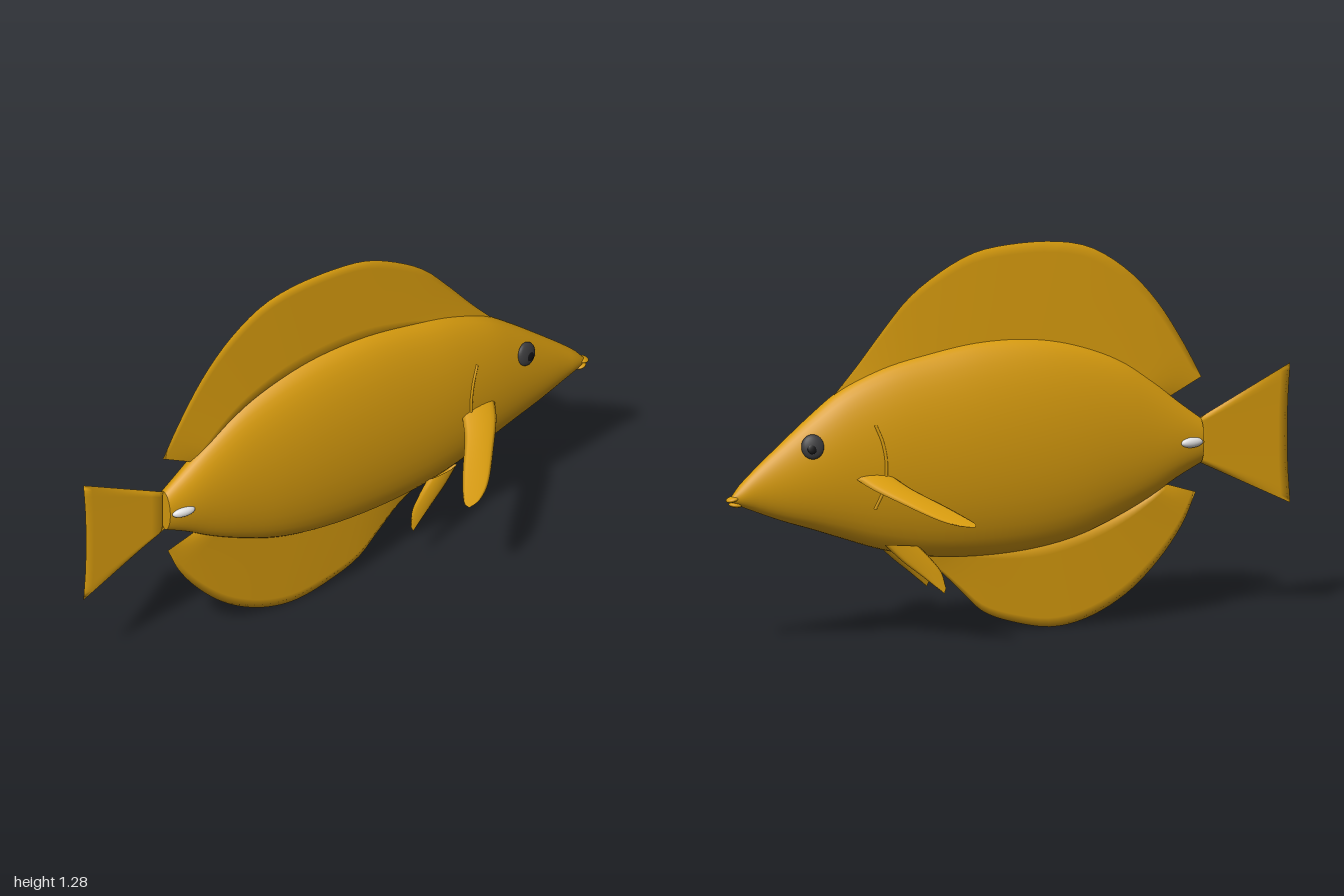
import * as THREE from 'three';

const mat = (name, color, side = THREE.FrontSide) => {
  const m = new THREE.MeshStandardMaterial({ color, side });
  m.name = name;
  return m;
};

// Body outline: x, top y, bottom y, half width
const rows = [
  [-0.68, 0.66, 0.51, 0.036], [-0.6, 0.72, 0.47, 0.05], [-0.5, 0.8, 0.41, 0.064],
  [-0.4, 0.868, 0.36, 0.077], [-0.25, 0.93, 0.3, 0.093], [-0.1, 0.963, 0.268, 0.103],
  [0.1, 0.968, 0.255, 0.108], [0.3, 0.938, 0.268, 0.105], [0.45, 0.902, 0.3, 0.098],
  [0.6, 0.835, 0.35, 0.084], [0.7, 0.762, 0.385, 0.07], [0.8, 0.68, 0.418, 0.053],
  [0.9, 0.595, 0.457, 0.034], [0.96, 0.538, 0.482, 0.022], [0.98, 0.512, 0.492, 0.011],
];
const outline = new THREE.CubicInterpolant(
  rows.map((r) => r[0]), rows.flatMap((r) => r.slice(1)), 3, new Float32Array(3));

function section(x) {
  const [top, bottom, width] = outline.evaluate(x);
  return { mid: (top + bottom) / 2, half: (top - bottom) / 2, width };
}

// Half width of the body surface at a given x and y
function surfaceZ(x, y) {
  const s = section(x);
  return s.width * Math.sqrt(Math.max(0, 1 - ((y - s.mid) / s.half) ** 2));
}

// Skin over a row of closed rings with equal point counts
function loft(rings) {
  const n = rings[0].length;
  const index = [];
  for (let i = 0; i < rings.length - 1; i++) {
    for (let j = 0; j < n; j++) {
      const a = i * n + j, b = i * n + (j + 1) % n;
      index.push(a, b, a + n, b, b + n, a + n);
    }
  }
  const geo = new THREE.BufferGeometry().setFromPoints(rings.flat());
  geo.setIndex(index);
  geo.computeVertexNormals();
  return geo;
}

function bodyGeometry() {
  const rings = [], count = 56, around = 40;
  for (let i = 0; i <= count; i++) {
    const x = -0.68 + 1.66 * i / count, s = section(x);
    rings.push(Array.from({ length: around }, (_, j) => {
      const a = j / around * Math.PI * 2;
      return new THREE.Vector3(x, s.mid + s.half * Math.cos(a), s.width * Math.sin(a));
    }));
  }
  // Flat caps with their own edge rings
  const cap = (ring) => {
    const s = section(ring[0].x);
    return ring.map((p) => new THREE.Vector3(p.x, s.mid, 0));
  };
  const first = rings[0], last = rings[count];
  return loft([cap(first), first.map((p) => p.clone()), ...rings,
    last.map((p) => p.clone()), cap(last)]);
}

// Fin surface stretched between two edge curves, thickened along its normal
function finGeometry(edgeA, edgeB, thickness, nu = 40, nv = 10) {
  const a = new THREE.CatmullRomCurve3(edgeA), b = new THREE.CatmullRomCurve3(edgeB);
  const across = b.getPointAt(0.5).sub(a.getPointAt(0.5));
  const along = a.getTangentAt(0.5).add(b.getTangentAt(0.5));
  const normal = across.cross(along).normalize();
  const rings = [];
  for (let i = 0; i <= nu; i++) {
    const u = i / nu, pa = a.getPointAt(u), pb = b.getPointAt(u), ring = [];
    for (let j = 0; j < nv * 2; j++) {
      const v = (j <= nv ? j : 2 * nv - j) / nv;
      const t = thickness(u, v) * (j <= nv ? 1 : -1);
      ring.push(pa.clone().lerp(pb, v).addScaledVector(normal, t));
    }
    rings.push(ring);
  }
  return loft(rings);
}

const flat = (pts) => pts.map(([x, y]) => new THREE.Vector3(x, y, 0));
const medianTaper = (h) => (u, v) =>
  h * (1 - v) * Math.sqrt(Math.min(1, u / 0.07, (1 - u) / 0.07));
const pairedTaper = (h) => (u, v) =>
  h * Math.sqrt(Math.sin(Math.PI * Math.min(v, 0.9999))) * (1 - u);

export function createModel() {
  const group = new THREE.Group();
  const yellow = mat('golden yellow', 0xd79b0e);
  const finYellow = mat('golden yellow fin', 0xd79b0e, THREE.DoubleSide);
  const dark = mat('eye grey', 0x3a3a3c);
  const black = mat('pupil black', 0x111113);
  const white = mat('spine white', 0xe2e2e2);

  const add = (name, geo, material) => {
    const mesh = new THREE.Mesh(geo, material);
    mesh.name = name;
    group.add(mesh);
    return mesh;
  };
  const ellipsoid = (name, material, pos, scale) => {
    const mesh = add(name, new THREE.SphereGeometry(1, 24, 16), material);
    mesh.position.set(...pos);
    mesh.scale.set(...scale);
    return mesh;
  };

  add('body', bodyGeometry(), yellow);

  // Fins along the middle
  add('dorsalFin', finGeometry(
    flat([[-0.55, 0.725], [-0.35, 0.86], [0, 0.93], [0.3, 0.9], [0.58, 0.81]]),
    flat([[-0.685, 0.795], [-0.62, 0.915], [-0.525, 1.06], [-0.42, 1.17], [-0.295, 1.25],
      [-0.18, 1.278], [0, 1.28], [0.125, 1.26], [0.25, 1.2], [0.355, 1.125],
      [0.445, 1.025], [0.54, 0.91], [0.63, 0.81]]),
    medianTaper(0.014)), finYellow);
  add('analFin', finGeometry(
    flat([[-0.55, 0.45], [-0.35, 0.36], [-0.1, 0.3], [0.1, 0.29], [0.3, 0.29]]),
    flat([[-0.665, 0.415], [-0.62, 0.315], [-0.535, 0.2], [-0.42, 0.095], [-0.285, 0.025],
      [-0.16, 0.002], [-0.02, 0.027], [0.09, 0.07], [0.17, 0.145], [0.25, 0.22], [0.34, 0.275]]),
    medianTaper(0.014)), finYellow);
  add('tailFin', finGeometry(
    flat([[-0.67, 0.515], [-0.67, 0.585], [-0.67, 0.655]]),
    flat([[-1, 0.355], [-0.992, 0.47], [-0.99, 0.585], [-0.992, 0.7], [-1, 0.82]]),
    medianTaper(0.012)), finYellow);

  // Lips
  ellipsoid('upperLip', yellow, [0.977, 0.503, 0], [0.023, 0.009, 0.022]).rotation.z = -0.25;
  ellipsoid('lowerLip', yellow, [0.968, 0.483, 0], [0.022, 0.008, 0.02]).rotation.z = 0.15;

  // Paired parts on both flanks
  for (const s of [1, -1]) {
    const side = s > 0 ? 'right' : 'left';

    const pectoral = (pts) => pts.map(([x, z]) =>
      new THREE.Vector3(x, 0.547 - 0.46 * (z - 0.1), s * z));
    add(side + 'PectoralFin', finGeometry(
      pectoral([[0.575, 0.08], [0.545, 0.135], [0.48, 0.215], [0.375, 0.33], [0.315, 0.365], [0.275, 0.372]]),
      pectoral([[0.445, 0.08], [0.405, 0.155], [0.325, 0.26], [0.275, 0.335], [0.265, 0.358], [0.273, 0.371]]),
      pairedTaper(0.014), 24), finYellow);

    const pelvic = (pts) => pts.map(([x, y]) =>
      new THREE.Vector3(x, y, s * (0.043 + (0.31 - y) * 0.2)));
    add(side + 'PelvicFin', finGeometry(
      pelvic([[0.455, 0.322], [0.4, 0.268], [0.33, 0.212], [0.257, 0.152]]),
      pelvic([[0.335, 0.31], [0.295, 0.267], [0.262, 0.222], [0.25, 0.17]]),
      pairedTaper(0.014), 20), finYellow);

    // Eye and pupil, turned to follow the head
    const eye = new THREE.Group();
    eye.name = side + 'Eye';
    eye.position.set(0.717, 0.668, s * 0.057);
    eye.rotation.set(-s * 0.2, s * 0.2, 0);
    const ball = ellipsoid('eyeball', dark, [0, 0, 0], [0.038, 0.041, 0.016]);
    const pupil = ellipsoid('pupil', black, [0.005, -0.008, s * 0.0135], [0.015, 0.016, 0.004]);
    eye.add(ball, pupil);
    group.add(eye);

    // Gill slit ridge lying on the flank
    const gill = [[0.505, 0.73], [0.483, 0.67], [0.472, 0.6], [0.478, 0.52], [0.505, 0.45]]
      .map(([x, y]) => new THREE.Vector3(x, y, s * surfaceZ(x, y)));
    add(side + 'GillRidge',
      new THREE.TubeGeometry(new THREE.CatmullRomCurve3(gill), 24, 0.005, 8), yellow);

    // Spine at the tail root
    ellipsoid(side + 'TailSpine', white, [-0.633, 0.587, s * 0.045], [0.041, 0.017, 0.015])
      .rotation.y = -s * 0.15;
  }
  return group;
}
